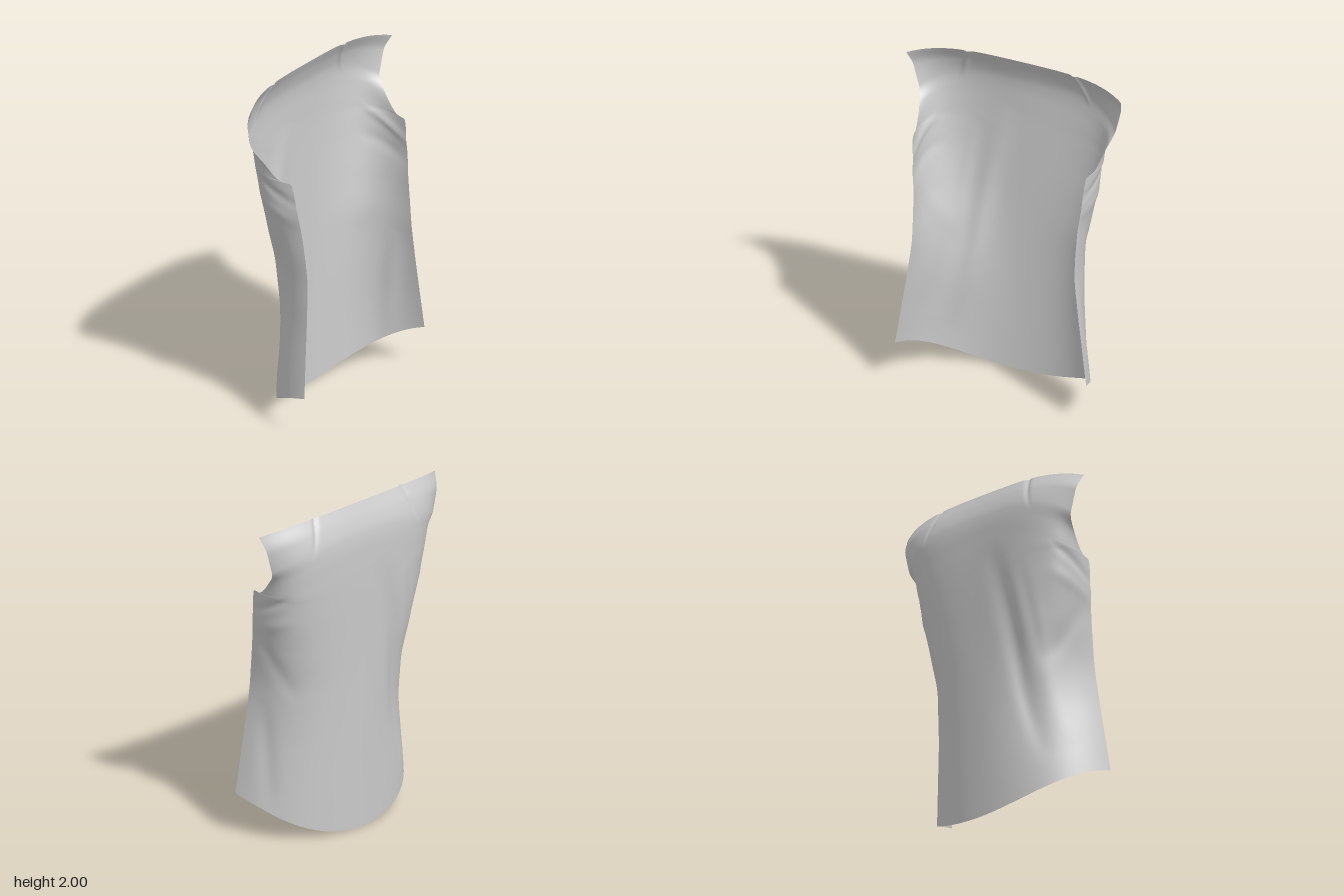
import * as THREE from 'three';

// Half cross-sections from hem to neckline, each a cubic curve from centre back to side edge:
// centreY, edgeY, centreZ, bulge, ax, bx, bz, edgeX, edgeZ
const ROWS = [
  [0.00, 0.25, -0.19, 0.003, 0.34, 0.55, -0.055, 0.59, 0.215],
  [0.28, 0.48, -0.198, 0.007, 0.325, 0.525, -0.07, 0.558, 0.205],
  [0.58, 0.73, -0.207, 0.011, 0.325, 0.505, -0.07, 0.524, 0.195],
  [0.88, 0.95, -0.216, 0.014, 0.335, 0.51, -0.075, 0.503, 0.185],
  [1.15, 1.16, -0.224, 0.016, 0.345, 0.55, -0.125, 0.508, 0.165],
  [1.36, 1.36, -0.231, 0.016, 0.35, 0.60, -0.175, 0.527, 0.14],
  [1.52, 1.525, -0.236, 0.015, 0.35, 0.63, -0.21, 0.542, 0.11], // underarm corner
  [1.64, 1.535, -0.238, 0.014, 0.34, 0.61, -0.225, 0.555, 0.05],
  [1.74, 1.63, -0.238, 0.012, 0.325, 0.56, -0.235, 0.58, -0.05],
  [1.83, 1.73, -0.232, 0.009, 0.31, 0.52, -0.235, 0.614, -0.115],
  [1.915, 1.85, -0.208, 0.005, 0.30, 0.51, -0.213, 0.645, -0.112],
  [2.00, 1.95, -0.17, 0.000, 0.30, 0.50, -0.17, 0.67, -0.07],
];

// Cloth folds: start (u, y), end (u, y), width, depth; u runs -1..1 across the panel
const FOLDS = [
  [-0.10, 1.65, -0.52, 0.25, 0.07, -0.020],
  [-0.28, 1.55, -0.70, 0.35, 0.10, 0.012],
  [-0.32, 1.50, -0.54, 0.80, 0.05, -0.008],
  [0.70, 0.15, 0.86, 0.85, 0.07, -0.010],
];
for (const side of [-1, 1]) {
  FOLDS.push(
    [side * 0.33, 2.20, side * 0.52, 1.78, 0.02, -0.012], // shoulder dart
    [side * 1.05, 1.38, side * 0.60, 1.55, 0.028, -0.009], // underarm drape
    [side * 1.02, 1.28, side * 0.55, 1.40, 0.040, 0.006],
    [side * 1.00, 1.30, side * 0.50, 0.85, 0.060, -0.007],
  );
}

// Smooth interpolation down one column of ROWS, without overshoot
function sample(col, t) {
  const last = ROWS.length - 1;
  const i = Math.min(Math.floor(t), last - 1), f = t - i;
  const p = k => ROWS[k][col];
  const slope = k => {
    if (k === 0) return p(1) - p(0);
    if (k === last) return p(last) - p(last - 1);
    const a = p(k) - p(k - 1), b = p(k + 1) - p(k);
    if (a * b <= 0) return 0;
    return Math.sign(a) * Math.min(Math.abs(a + b) / 2, 2 * Math.abs(a), 2 * Math.abs(b));
  };
  const f2 = f * f, f3 = f2 * f;
  return p(i) * (2 * f3 - 3 * f2 + 1) + p(i + 1) * (3 * f2 - 2 * f3)
    + slope(i) * (f3 - 2 * f2 + f) + slope(i + 1) * (f3 - f2);
}

// Each fold is a soft groove or ridge that fades out at both ends
function foldDepth(u, y) {
  let depth = 0;
  for (const [u0, y0, u1, y1, width, amount] of FOLDS) {
    const du = u1 - u0, dy = y1 - y0;
    const k = THREE.MathUtils.clamp(((u - u0) * du + (y - y0) * dy) / (du * du + dy * dy), 0, 1);
    const d = Math.hypot(u - u0 - k * du, y - y0 - k * dy) / width;
    depth += amount * Math.exp(-d * d) * Math.sin(Math.PI * k);
  }
  return depth;
}

function panelPoint(u, t, target) {
  const s = Math.abs(u), side = Math.sign(u) || 1;
  const [yc, ye, zc, bulge, ax, bx, bz, ex, ez] = ROWS[0].map((_, col) => sample(col, t));
  // the right side wraps further forward at the hem and sinks in below the waist
  const wrap = side < 0 ? 0.028 * Math.max(0, 1 - t / 6) : 0;
  const sink = side < 0 ? 0.05 * Math.exp(-(((t - 2.2) / 1.4) ** 2)) : 0;
  const curve = new THREE.CubicBezierCurve(
    new THREE.Vector2(0, zc), new THREE.Vector2(ax - sink, zc),
    new THREE.Vector2(bx - sink * 0.5, bz + sink), new THREE.Vector2(ex, ez + wrap));
  const p = curve.getPoint(s), tangent = curve.getTangent(s);
  // the rise toward the edge changes from the curved hem to the flat neckline
  const rise = THREE.MathUtils.lerp(s * s * (2.2 - 1.2 * s), s ** 3, THREE.MathUtils.smoothstep(t, 5, 11));
  const y = yc + (ye - yc) * rise;
  const d = foldDepth(u, y) + bulge * 16 * (s * (1 - s)) ** 2;
  target.set(side * (p.x + tangent.y * d), y, p.y - tangent.x * d);
}

export function createModel() {
  const group = new THREE.Group();
  group.name = 'garmentBack';

  // One sheet of cloth, wrapped around the back and cut out at the armholes
  const geometry = new THREE.PlaneGeometry(2, ROWS.length - 1, 140, 154);
  const pos = geometry.attributes.position, v = new THREE.Vector3();
  const half = (ROWS.length - 1) / 2;
  for (let i = 0; i < pos.count; i++) {
    const t = THREE.MathUtils.clamp(pos.getY(i) + half, 0, half * 2);
    panelPoint(-pos.getX(i), t, v);
    pos.setXYZ(i, v.x, v.y, v.z);
  }
  geometry.computeVertexNormals();

  const cloth = new THREE.MeshStandardMaterial({ color: 0xcccccc, side: THREE.DoubleSide });
  const panel = new THREE.Mesh(geometry, cloth);
  panel.name = 'backPanel';
  group.add(panel);
  return group;
}
